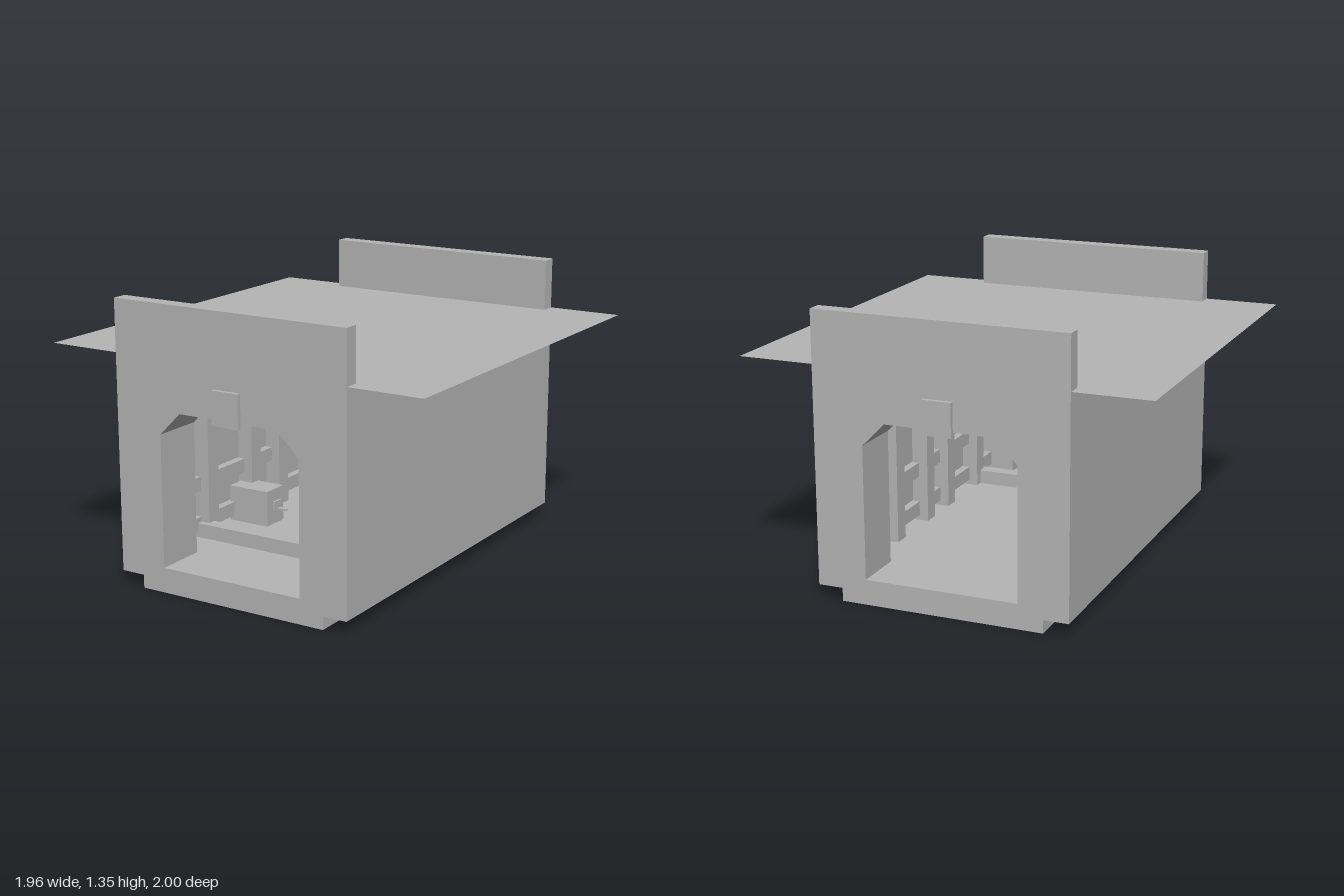
import * as THREE from 'three';

const stone = new THREE.MeshStandardMaterial({ color: 0xb4b4b4 });
stone.name = 'grey stone';
const sheet = new THREE.MeshStandardMaterial({ color: 0xb4b4b4, side: THREE.DoubleSide });
sheet.name = 'grey ground sheet';

// Stepped outer section with a chamfered tunnel hole, extruded along z
function tunnelSection(halfWidth, ceiling, chamfer, z0, z1) {
  const outer = [[-0.49, 0], [0.49, 0], [0.49, 0.063], [0.61, 0.063],
    [0.61, 1.098], [-0.61, 1.098], [-0.61, 0.063], [-0.49, 0.063]];
  const w = halfWidth, c = chamfer;
  const hole = [[-w, 0.12], [-w, ceiling - c], [-w + c, ceiling],
    [w - c, ceiling], [w, ceiling - c], [w, 0.12]];
  const toPoints = (list) => list.map(([x, y]) => new THREE.Vector2(x, y));
  const shape = new THREE.Shape(toPoints(outer));
  shape.holes.push(new THREE.Path(toPoints(hole)));
  const geometry = new THREE.ExtrudeGeometry(shape, { depth: z1 - z0, bevelEnabled: false });
  return geometry.translate(0, 0, z0);
}

export function createModel() {
  const model = new THREE.Group();
  model.name = 'tunnelSegment';

  const add = (name, geometry, material = stone) => {
    const mesh = new THREE.Mesh(geometry, material);
    mesh.name = name;
    model.add(mesh);
    return mesh;
  };
  // Box given by its lower and upper limits
  const box = (name, x0, x1, y0, y1, z0, z1) => {
    const mesh = add(name, new THREE.BoxGeometry(x1 - x0, y1 - y0, z1 - z0));
    mesh.position.set((x0 + x1) / 2, (y0 + y1) / 2, (z0 + z1) / 2);
    return mesh;
  };

  // Wide chamber between two narrower portals
  add('chamberWalls', tunnelSection(0.54, 0.92, 0.06, -0.73, 0.73));
  add('frontPortal', tunnelSection(0.37, 0.862, 0.11, 0.73, 0.98));
  add('backPortal', tunnelSection(0.37, 0.862, 0.11, -0.98, -0.73));

  // Ground sheet overhanging both sides
  const ground = add('groundSheet', new THREE.PlaneGeometry(1.955, 1.955), sheet);
  ground.rotation.x = -Math.PI / 2;
  ground.position.y = 1.1;

  // Parapets and portal plates at both ends
  for (const [end, s] of [['front', 1], ['back', -1]]) {
    const span = (a, b) => (s > 0 ? [a, b] : [-b, -a]);
    box(end + 'Parapet', -0.61, 0.61, 1.09, 1.35, ...span(0.905, 0.98));
    box(end + 'Plate', -0.07, 0.07, 0.84, 1.0, ...span(0.98, 1.0));
  }

  // Timber frames: posts on both walls joined by ceiling beams
  for (const z of [-0.45, -0.12, 0.12, 0.48]) {
    for (const s of [-1, 1]) {
      const post = box('wallPost', -0.04, 0.04, 0.12, 0.9, z - 0.04, z + 0.04);
      post.position.x = s * 0.49;
    }
    box('ceilingBeam', -0.53, 0.53, 0.87, 0.925, z - 0.04, z + 0.04);
  }

  // Rails along both walls
  for (const s of [-1, 1]) {
    for (const y of [0.18, 0.38]) {
      const rail = box('wallRail', -0.02, 0.02, y - 0.035, y + 0.035, -0.73, 0.73);
      rail.position.x = s * 0.515;
    }
  }

  // Beam lying across the floor
  box('floorBeam', -0.54, 0.54, 0.12, 0.19, 0.48, 0.55);

  // Crate by the wall with small tools beside it
  box('crate', -0.52, -0.3, 0.12, 0.297, 0.11, 0.25);
  box('toolHandle', -0.31, -0.24, 0.19, 0.2, 0.16, 0.18);
  box('toolHead', -0.3, -0.288, 0.19, 0.235, 0.14, 0.2);

  // Thin rods hanging from the ceiling
  for (const [x, low, z] of [[-0.118, 0.755, 0.3], [0.033, 0.765, 0], [0.064, 0.775, -0.3]]) {
    box('hangingRod', x - 0.005, x + 0.005, low, 0.93, z - 0.005, z + 0.005);
  }
  return model;
}
